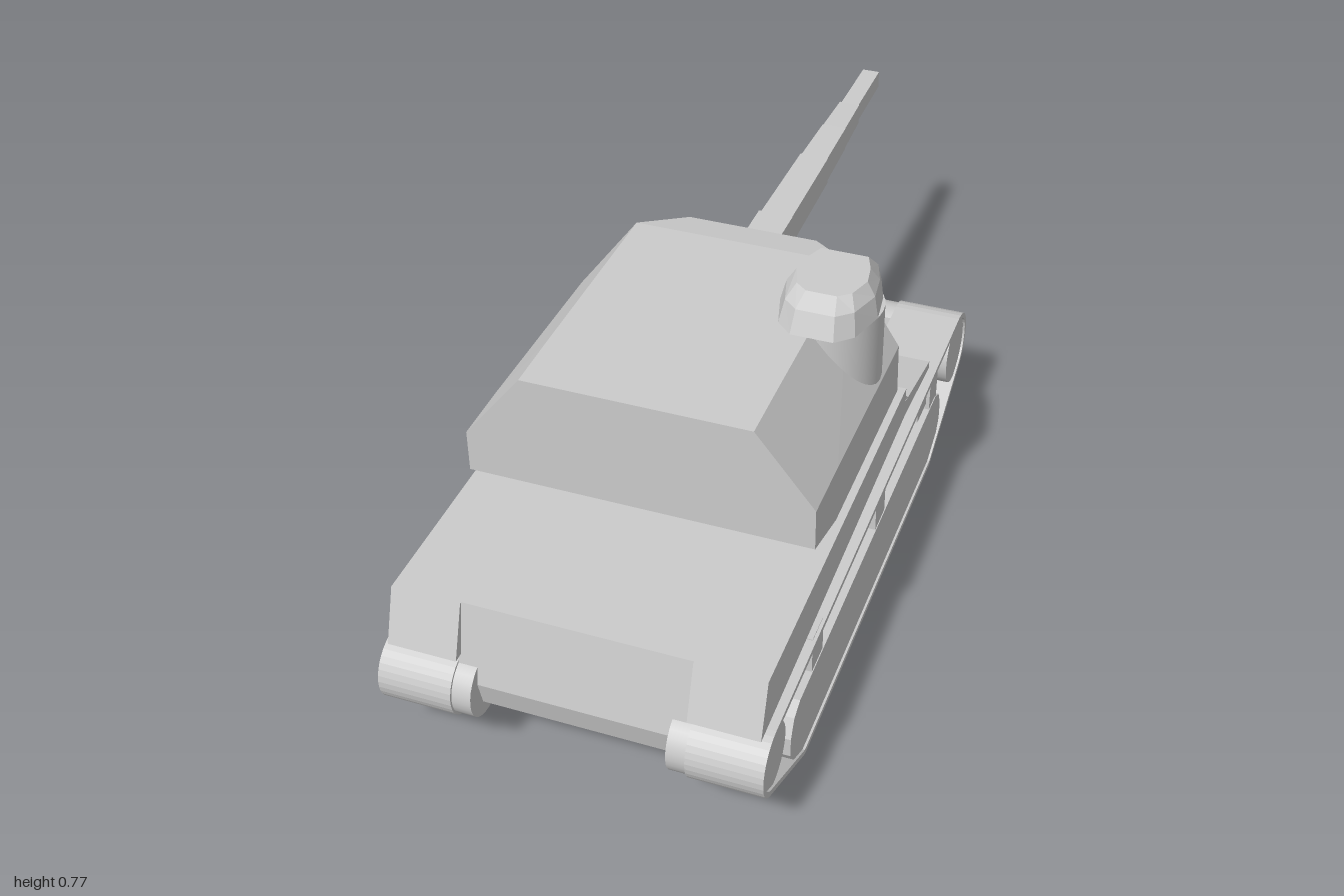
import * as THREE from 'three';

const mat = new THREE.MeshStandardMaterial({ color: 0xcccccc, flatShading: true });
const smooth = new THREE.MeshStandardMaterial({ color: 0xcccccc });

function mesh(parent, name, geometry, material = mat) {
  const m = new THREE.Mesh(geometry, material);
  m.name = name;
  parent.add(m);
  return m;
}

// Box from its limits along each axis
function box(parent, name, [x0, x1], [y0, y1], [z0, z1]) {
  const g = new THREE.BoxGeometry(x1 - x0, y1 - y0, z1 - z0);
  return mesh(parent, name, g.translate((x0 + x1) / 2, (y0 + y1) / 2, (z0 + z1) / 2));
}

// Side profile (z, y) extruded between two x positions
function sideExtrude(parent, name, shape, x0, x1) {
  const g = new THREE.ExtrudeGeometry(shape, { depth: x1 - x0, bevelEnabled: false });
  return mesh(parent, name, g.rotateY(-Math.PI / 2).translate(x1, 0, 0));
}

const polygon = (pts) => new THREE.Shape(pts.map(([a, b]) => new THREE.Vector2(a, b)));

// Closed loft through equal-length loops, capped at both ends, facing outward
function loft(parent, name, loops) {
  const n = loops[0].length, idx = [];
  const pts = loops.flat().map((p) => new THREE.Vector3(...p));
  for (let s = 0; s < loops.length - 1; s++) {
    for (let i = 0; i < n; i++) {
      const a = s * n + i, b = s * n + (i + 1) % n;
      idx.push(a, b, b + n, a, b + n, a + n);
    }
  }
  const last = (loops.length - 1) * n;
  for (let i = 1; i < n - 1; i++) idx.push(0, i + 1, i, last, last + i, last + i + 1);
  let volume = 0;
  for (let i = 0; i < idx.length; i += 3) {
    volume += pts[idx[i]].dot(pts[idx[i + 1]].clone().cross(pts[idx[i + 2]]));
  }
  if (volume < 0) idx.reverse();
  const indexed = new THREE.BufferGeometry().setFromPoints(pts);
  indexed.setIndex(idx);
  const g = indexed.toNonIndexed();
  g.computeVertexNormals();
  return mesh(parent, name, g);
}

// Mirror a half loop across x = 0
const mirrored = (half) => [...half, ...half.map(([x, y, z]) => [-x, y, z]).reverse()];

function drum(parent, name, x0, x1, y, z, r) {
  const g = new THREE.CylinderGeometry(r, r, x1 - x0, 28).rotateZ(Math.PI / 2);
  return mesh(parent, name, g.translate((x0 + x1) / 2, y, z), smooth);
}

const idler = { z: 0.925, y: 0.18, r: 0.075 };
const sprocket = { z: -0.435, y: 0.193, r: 0.088 };

// Outline of the track belt, inset by d
function beltPoints(d) {
  const pts = [[-0.22, d], [0.74, d]];
  const arc = (c, from, to) => {
    for (let i = 0; i <= 14; i++) {
      const a = THREE.MathUtils.degToRad(from + (to - from) * i / 14);
      pts.push([c.z + (c.r - d) * Math.cos(a), c.y + (c.r - d) * Math.sin(a)]);
    }
  };
  arc(idler, -59, 89);
  arc(sprocket, 89, 246);
  return pts;
}

function buildTrack(side) {
  const g = new THREE.Group();
  g.name = side > 0 ? 'leftTrack' : 'rightTrack';
  // When mirrored, limits are swapped so every solid keeps its facing
  const lim = (a, b) => (side > 0 ? [a, b] : [-b, -a]);
  const belt = polygon(beltPoints(0));
  belt.holes.push(polygon(beltPoints(0.012)));
  sideExtrude(g, 'trackBelt', belt, ...lim(0.24, 0.395));
  drum(g, 'idlerWheel', ...lim(0.2, 0.39), idler.y, idler.z, idler.r - 0.005);
  drum(g, 'driveSprocket', ...lim(0.2, 0.39), sprocket.y, sprocket.z, sprocket.r - 0.005);

  // Lower suspension body with rounded ends
  sideExtrude(g, 'suspensionBody', polygon([
    [-0.23, 0.003], [0.74, 0.003], [0.79, 0.03], [0.82, 0.075], [0.82, 0.12], [0.8, 0.16],
    [0.765, 0.175], [-0.255, 0.175], [-0.29, 0.16], [-0.31, 0.12], [-0.31, 0.075], [-0.28, 0.025],
  ]), ...lim(0.235, 0.39));
  // Pillars and rail that frame the side openings
  for (const [z0, z1] of [[0.615, 0.685], [0.17, 0.24], [-0.27, -0.205]]) {
    box(g, 'pillar', lim(0.235, 0.388), [0.17, 0.262], [z0, z1]);
  }
  sideExtrude(g, 'upperRail', polygon([
    [0.91, 0.24], [0.91, 0.25], [-0.3, 0.27], [-0.3, 0.255],
  ]), ...lim(0.235, 0.388));
  box(g, 'returnBracket', lim(0.235, 0.38), [0.19, 0.262], [-0.205, -0.13]);
  sideExtrude(g, 'sprocketArm', polygon([
    [-0.25, 0.11], [-0.4, 0.12], [-0.4, 0.25], [-0.25, 0.18],
  ]), ...lim(0.235, 0.34));

  // Overhanging hull side above the track
  sideExtrude(g, 'sponson', polygon([
    [0.93, 0.38], [0.0, 0.38], [0.0, 0.345], [-0.21, 0.307], [-0.21, 0.29],
    [0.0, 0.305], [0.97, 0.265],
  ].reverse()), ...lim(0.235, 0.38));
  return g;
}

function buildHull() {
  const g = new THREE.Group();
  g.name = 'hull';
  sideExtrude(g, 'hullBody', polygon([
    [0.925, 0.38], [0.0, 0.38], [0.0, 0.345], [-0.495, 0.25], [-0.43, 0.095],
    [0.88, 0.095], [0.945, 0.145], [0.96, 0.205],
  ]), -0.24, 0.24);
  // Wedge-shaped front of the upper hull
  loft(g, 'upperHullFront', [
    mirrored([[0.38, 0.31, 0.05], [0.38, 0.342, -0.02], [0.07, 0.288, -0.28]]),
    mirrored([[0.38, 0.38, 0.05], [0.37, 0.38, 0.015], [0.07, 0.38, -0.225]]),
  ]);
  box(g, 'turretRing', [-0.3, 0.3], [0.37, 0.39], [0.0, 0.46]);
  return g;
}

function buildTurret() {
  const g = new THREE.Group();
  g.name = 'turret';
  const section = (zs, xs, ys) => mirrored(xs.map((x, i) => [x, ys[i], zs[i]]));
  loft(g, 'turretShell', [
    section([0.61, 0.61, 0.61], [0.365, 0.365, 0.24], [0.425, 0.52, 0.68]),
    section([0.47, 0.47, 0.47], [0.365, 0.365, 0.24], [0.385, 0.52, 0.68]),
    section([0.02, 0.03, 0.0], [0.365, 0.365, 0.24], [0.385, 0.51, 0.675]),
    section([-0.165, -0.165, -0.075], [0.145, 0.145, 0.145], [0.392, 0.565, 0.665]),
  ]);

  // Cupola: round base and faceted hood
  const base = new THREE.CylinderGeometry(0.105, 0.105, 0.21, 32);
  mesh(g, 'cupolaBase', base.translate(0.257, 0.585, 0.165), smooth);
  const ring = (k, zf, zb, yf, yb) => [
    [-0.07, 0], [0.07, 0], [0.092, 0.25], [0.103, 0.55], [0.08, 0.87],
    [0.045, 1], [-0.045, 1], [-0.08, 0.87], [-0.103, 0.55], [-0.092, 0.25],
  ].map(([x, t]) => [0.257 + x * k, yf + (yb - yf) * t, zf + (zb - zf) * t]);
  loft(g, 'cupolaHood', [
    ring(1, 0.058, 0.315, 0.69, 0.697),
    ring(0.9, 0.062, 0.295, 0.728, 0.745),
    ring(0.72, 0.095, 0.255, 0.764, 0.766),
  ]);
  return g;
}

function buildGun() {
  const g = new THREE.Group();
  g.name = 'gun';
  box(g, 'gunMount', [-0.04, 0.04], [0.53, 0.61], [-0.235, -0.12]);
  box(g, 'mantlet', [-0.06, 0.06], [0.5, 0.55], [-0.195, -0.16]);
  box(g, 'mantletFoot', [-0.03, 0.03], [0.46, 0.5], [-0.19, -0.16]);
  // Stepped, slightly tapering square barrel
  const square = (h, z) => [[h, h], [-h, h], [-h, -h], [h, -h]].map(([x, y]) => [x, 0.568 + y, z]);
  for (const [z0, z1, h0, h1] of [
    [-0.23, -0.52, 0.037, 0.034], [-0.52, -0.68, 0.032, 0.029],
    [-0.68, -0.81, 0.028, 0.025], [-0.81, -1, 0.022, 0.021],
  ]) {
    loft(g, 'barrelSection', [square(h0, z0), square(h1, z1)]);
  }
  return g;
}

export function createModel() {
  const model = new THREE.Group();
  model.name = 'tank';
  model.add(buildHull(), buildTrack(1), buildTrack(-1), buildTurret(), buildGun());
  return model;
}
